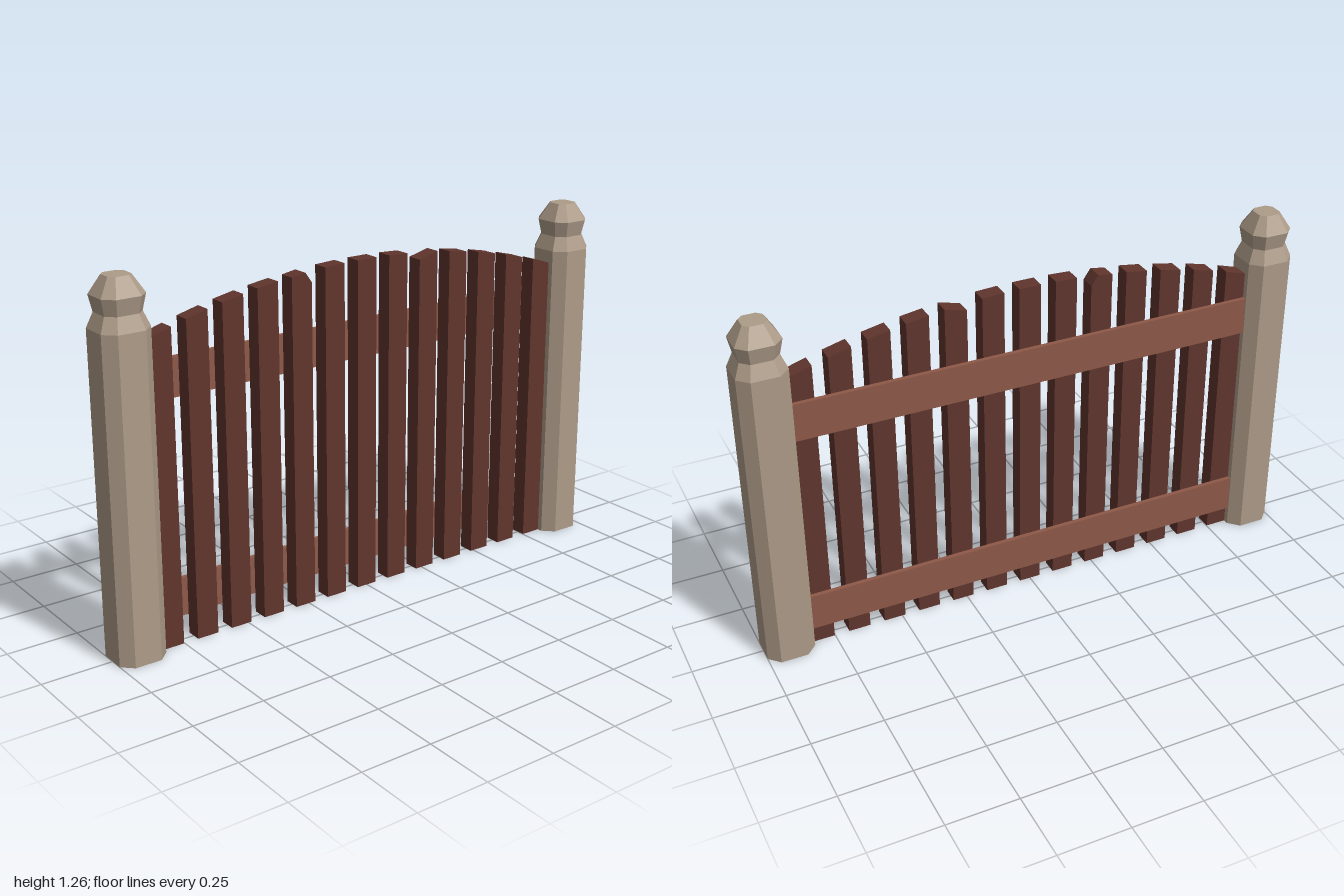
import * as THREE from 'three';

export function createModel() {
  const gate = new THREE.Group();
  gate.name = 'picketFence';

  const postWood = new THREE.MeshStandardMaterial({ color: 0xad9b88 });
  postWood.name = 'weathered post';
  const picketWood = new THREE.MeshStandardMaterial({ color: 0x60352d });
  picketWood.name = 'dark picket';
  const railWood = new THREE.MeshStandardMaterial({ color: 0x8d5948 });
  railWood.name = 'red brown rail';

  const add = (geometry, material, name, x, y, z) => {
    const mesh = new THREE.Mesh(geometry, material);
    mesh.name = name;
    mesh.position.set(x, y, z);
    gate.add(mesh);
  };

  // Chamfered square posts with a necked finial; profile holds [half width, height]
  const profile = [[0, 0], [0.085, 0], [0.085, 1.1], [0.065, 1.15], [0.076, 1.205], [0.04, 1.265], [0, 1.265]];
  const c = Math.cos(Math.PI / 8);
  const lathe = new THREE.LatheGeometry(
    profile.map(([r, y]) => new THREE.Vector2(r / c, y)), 8, Math.PI / 8);
  const postGeometry = lathe.toNonIndexed();
  const p = postGeometry.attributes.position;
  // Widen the main faces so the corner chamfers become narrower
  for (let i = 0; i < p.count; i++) {
    const x = p.getX(i), z = p.getZ(i);
    if (Math.abs(x) < Math.abs(z)) p.setX(i, x * 1.35);
    else p.setZ(i, z * 1.35);
  }
  postGeometry.computeVertexNormals();
  add(postGeometry, postWood, 'leftPost', 0.915, 0, 0);
  add(postGeometry, postWood, 'rightPost', -0.915, 0, 0);

  // Pickets, cut along a shallow arc
  const R = 2.7, half = 0.039, depth = 0.057;
  const arc = x => 1.187 - R + Math.sqrt(R * R - x * x);
  for (let i = -6; i <= 6; i++) {
    const x = i * 0.1318;
    let top = [[x + half, arc(x + half)], [x - half, arc(x - half)]];
    // Two pickets have chipped or reversed tops
    if (i === -2) top = [[x + half, 1.14], [x + 0.014, 1.176], [x - half, 1.167]];
    if (i === 2) top = [[x + half, 1.172], [x - half, 1.152]];
    const shape = new THREE.Shape(
      [[x - half, 0], [x + half, 0], ...top].map(([a, b]) => new THREE.Vector2(a, b)));
    add(new THREE.ExtrudeGeometry(shape, { depth, bevelEnabled: false }),
      picketWood, 'picket' + (i + 7), 0, 0, -0.028);
  }

  // Rails across the back
  const rail = new THREE.BoxGeometry(1.68, 0.135, 0.016);
  add(rail, railWood, 'lowerRail', 0, 0.137, -0.036);
  add(rail, railWood, 'upperRail', 0, 0.897, -0.036);

  return gate;
}
